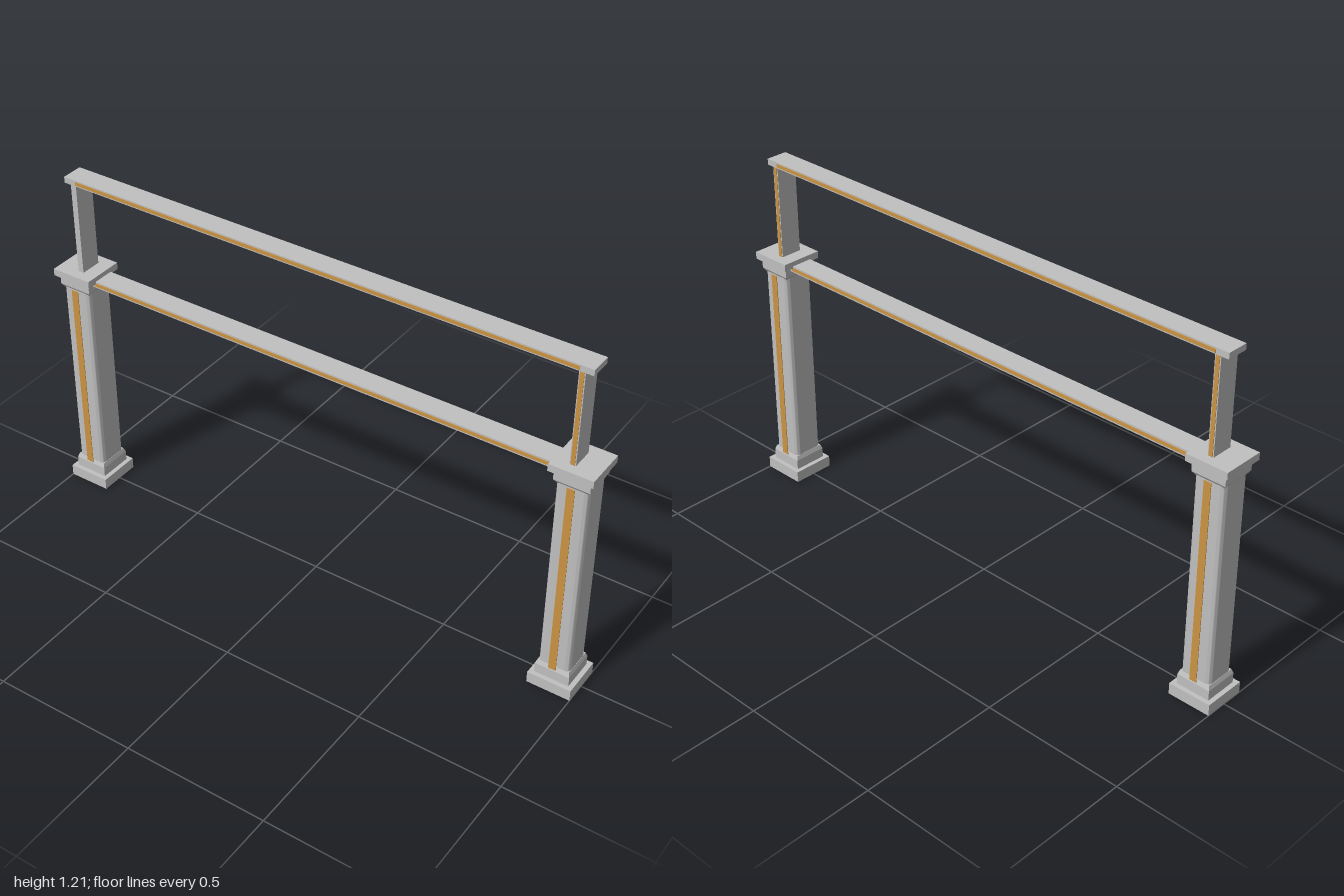
import * as THREE from 'three';
import { toCreasedNormals } from 'three/addons/utils/BufferGeometryUtils.js';

const stone = new THREE.MeshStandardMaterial({ color: 0xc0c0c0 });
stone.name = 'stone grey';
const gold = new THREE.MeshStandardMaterial({ color: 0xcc9443 });
gold.name = 'gold';

function add(group, name, geometry, material, x, y, z) {
  const mesh = new THREE.Mesh(geometry, material);
  mesh.name = name;
  mesh.position.set(x, y, z);
  group.add(mesh);
  return mesh;
}

// Box given by its bottom and top heights
function block(group, name, w, y0, y1, d, material = stone, x = 0, z = 0) {
  return add(group, name, new THREE.BoxGeometry(w, y1 - y0, d), material, x, (y0 + y1) / 2, z);
}

// Square moulding that changes half width from bottom to top
function taper(group, name, r0, r1, y0, y1) {
  const g = new THREE.CylinderGeometry(r1 * Math.SQRT2, r0 * Math.SQRT2, y1 - y0, 4, 1).rotateY(Math.PI / 4);
  add(group, name, toCreasedNormals(g, 0.5), stone, 0, (y0 + y1) / 2, 0);
}

// Square shaft with softly rounded corners
function shaftGeometry(half, r, height) {
  const s = new THREE.Shape();
  const c = half - r;
  [[c, c], [-c, c], [-c, -c], [c, -c]].forEach(([x, y], i) =>
    s.absarc(x, y, r, i * Math.PI / 2, (i + 1) * Math.PI / 2, false));
  s.closePath();
  const g = new THREE.ExtrudeGeometry(s, { depth: height, bevelEnabled: false, curveSegments: 6 });
  return toCreasedNormals(g.rotateX(-Math.PI / 2), 0.6);
}

function pillar(side) {
  const p = new THREE.Group();
  p.name = side > 0 ? 'leftPillar' : 'rightPillar';
  p.position.x = side * 0.924;
  // Stepped base
  block(p, 'plinth', 0.152, 0, 0.04, 0.152);
  block(p, 'baseBlock', 0.12, 0.04, 0.075, 0.12);
  taper(p, 'baseMoulding', 0.06, 0.055, 0.075, 0.09);
  // Shaft with a gold strip standing off the front and back
  add(p, 'shaft', shaftGeometry(0.054, 0.016, 0.72), stone, 0, 0.08, 0);
  for (const z of [1, -1]) block(p, 'shaftStrip', 0.026, 0.083, 0.795, 0.002, gold, 0, z * 0.062);
  // Capital
  taper(p, 'neckMoulding', 0.05, 0.06, 0.788, 0.803);
  block(p, 'capitalBlock', 0.12, 0.803, 0.837, 0.12);
  block(p, 'capitalSlab', 0.148, 0.837, 0.862, 0.148);
  // Upper post with edge strips
  const x = -side * 0.013;
  block(p, 'upperPost', 0.021, 0.862, 1.185, 0.076, stone, x);
  for (const z of [1, -1]) {
    if (z > 0 && side < 0) continue;
    block(p, 'postStrip', 0.014, 0.862, 1.185, 0.002, gold, x, z * 0.0385);
  }
  return p;
}

// Horizontal rail with a gold line along the front and back
function rail(name, length, y0, y1) {
  const r = new THREE.Group();
  r.name = name;
  block(r, name + 'Bar', length, y0, y1, 0.076);
  const mid = (y0 + y1) / 2;
  for (const z of [1, -1])
    block(r, name + 'Strip', length - 0.09, mid - 0.006, mid + 0.006, 0.002, gold, 0, z * 0.0385);
  return r;
}

export function createModel() {
  const model = new THREE.Group();
  model.name = 'railingSection';
  model.add(pillar(1), pillar(-1));
  model.add(rail('topRail', 1.895, 1.185, 1.206));
  model.add(rail('lowerRail', 1.8, 0.822, 0.845));
  return model;
}
